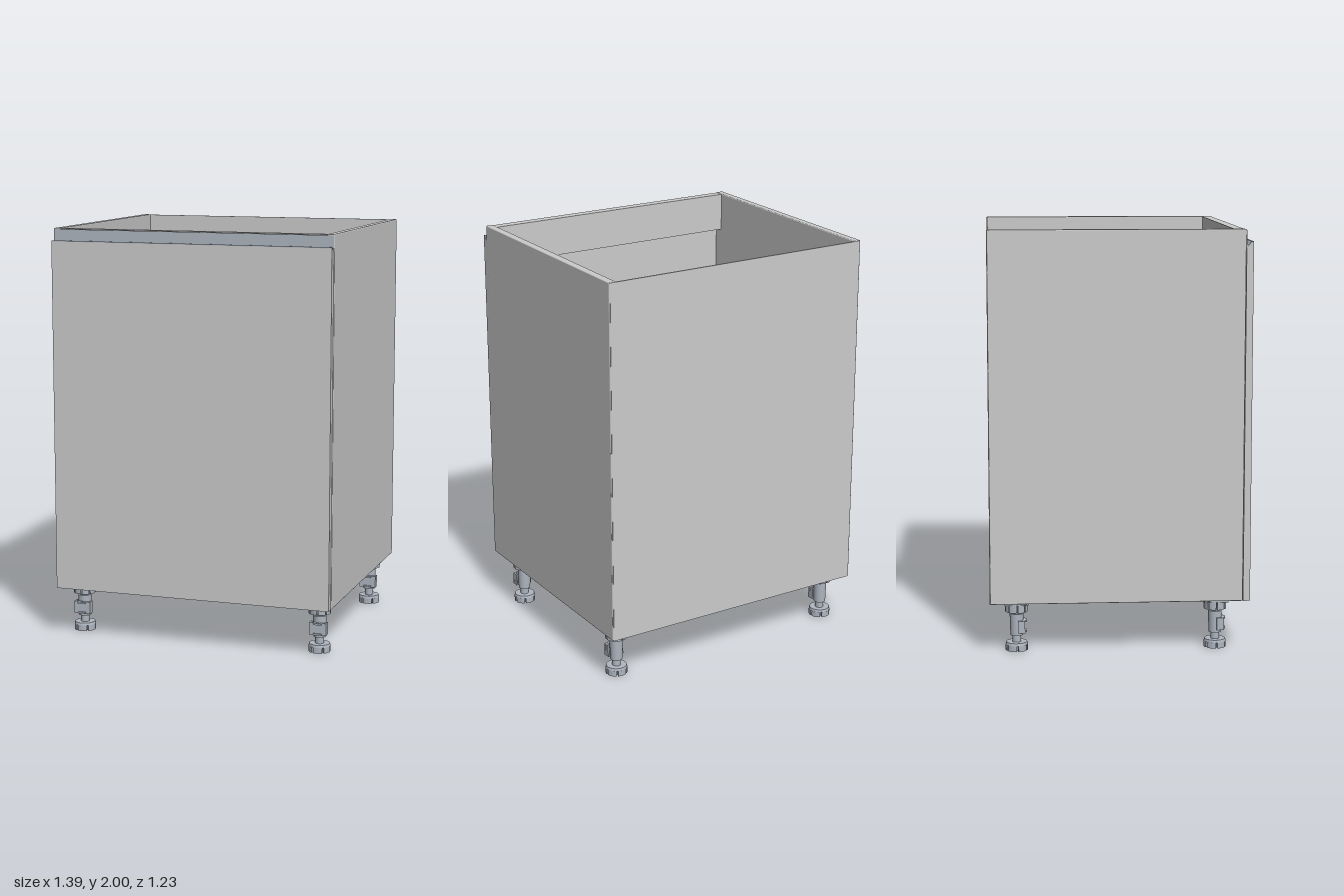
import * as THREE from 'three';
import { RoundedBoxGeometry } from 'three/addons/geometries/RoundedBoxGeometry.js';

const board = new THREE.MeshStandardMaterial({ color: 0xcccccc });
const metal = new THREE.MeshStandardMaterial({ color: 0xb0b7c1 });

function add(parent, name, geometry, material, x = 0, y = 0, z = 0) {
  const mesh = new THREE.Mesh(geometry, material);
  mesh.name = name;
  mesh.position.set(x, y, z);
  parent.add(mesh);
  return mesh;
}

// Panel given by its min and max corners, with slightly eased edges
function panel(parent, name, [x0, y0, z0], [x1, y1, z1], ease = 0) {
  const size = [x1 - x0, y1 - y0, z1 - z0];
  const geometry = ease ? new RoundedBoxGeometry(...size, 2, ease) : new THREE.BoxGeometry(...size);
  return add(parent, name, geometry, board, (x0 + x1) / 2, (y0 + y1) / 2, (z0 + z1) / 2);
}

// Extrudes a (z, y) side profile across the width in x
function acrossWidth(points, width) {
  const shape = new THREE.Shape(points.map(([z, y]) => new THREE.Vector2(z, y)));
  return new THREE.ExtrudeGeometry(shape, { depth: width, bevelEnabled: false })
    .rotateY(-Math.PI / 2).translate(width / 2, 0, 0);
}

// Slotted disc, like a gear, extruded upward from y = 0
function slottedDisc(outer, inner, height, teeth) {
  const shape = new THREE.Shape();
  const step = (Math.PI * 2) / teeth;
  for (let i = 0; i < teeth; i++) {
    const a = i * step;
    if (i === 0) shape.moveTo(inner, 0);
    else shape.lineTo(inner * Math.cos(a), inner * Math.sin(a));
    shape.lineTo(inner * Math.cos(a + step * 0.15), inner * Math.sin(a + step * 0.15));
    shape.absarc(0, 0, outer, a + step * 0.15, a + step, false);
  }
  shape.closePath();
  return new THREE.ExtrudeGeometry(shape, { depth: height, bevelEnabled: false, curveSegments: 5 })
    .rotateX(-Math.PI / 2);
}

function createLeg() {
  const leg = new THREE.Group();
  leg.name = 'leg';
  // Foot: slotted base under a plain disc
  add(leg, 'footBase', slottedDisc(0.053, 0.035, 0.028, 6), metal);
  add(leg, 'footDisc', new THREE.CylinderGeometry(0.05, 0.053, 0.012, 24), metal, 0, 0.034, 0);
  // Threaded stem, sleeve and neck
  add(leg, 'stem', new THREE.CylinderGeometry(0.021, 0.021, 0.04, 16), metal, 0, 0.058, 0);
  add(leg, 'sleeve', new THREE.CylinderGeometry(0.033, 0.03, 0.105, 20), metal, 0, 0.125, 0);
  add(leg, 'neck', new THREE.CylinderGeometry(0.024, 0.024, 0.06, 16), metal, 0, 0.2, 0);
  // Plinth clip on the front of the sleeve
  add(leg, 'clipPlate', new THREE.BoxGeometry(0.085, 0.06, 0.012), metal, 0, 0.117, 0.034);
  for (const y of [0.092, 0.142]) {
    add(leg, 'clipTab', new THREE.BoxGeometry(0.04, 0.008, 0.022), metal, 0, y, 0.037);
  }
  for (const x of [-0.038, 0.038]) {
    add(leg, 'clipCheek', new THREE.BoxGeometry(0.008, 0.06, 0.03), metal, x, 0.117, 0.02);
  }
  // Mounting socket screwed to the floor board
  add(leg, 'socket', slottedDisc(0.054, 0.036, 0.04, 8), metal, 0, 0.188, 0);
  add(leg, 'socketPlate', new THREE.BoxGeometry(0.114, 0.012, 0.114), metal, 0, 0.233, 0);
  return leg;
}

export function createModel() {
  const cabinet = new THREE.Group();
  cabinet.name = 'baseCabinet';

  // Open-topped carcass
  for (const s of [-1, 1]) {
    const x = [0.658 * s, 0.695 * s].sort((a, b) => a - b);
    panel(cabinet, s > 0 ? 'leftSide' : 'rightSide', [x[0], 0.24, -0.615], [x[1], 2, 0.582], 0.005);
  }
  panel(cabinet, 'floor', [-0.658, 0.24, -0.61], [0.658, 0.277, 0.58]);
  panel(cabinet, 'back', [-0.69, 0.24, -0.617], [0.69, 1.998, -0.609]);
  panel(cabinet, 'backRail', [-0.658, 0.277, -0.609], [0.658, 0.45, -0.572]);
  panel(cabinet, 'frontRail', [-0.658, 1.81, 0.532], [0.658, 1.998, 0.578]);

  // Door with a bevelled finger pull along its top edge
  add(cabinet, 'door', acrossWidth([
    [0.584, 0.24], [0.617, 0.24], [0.617, 1.938], [0.609, 1.938], [0.592, 1.918], [0.584, 1.918],
  ], 1.384), board);
  add(cabinet, 'handleStrip', acrossWidth([
    [0.578, 1.915], [0.592, 1.915], [0.61, 1.936], [0.617, 1.936], [0.617, 1.943],
    [0.607, 1.943], [0.591, 1.925], [0.586, 1.93], [0.586, 1.995], [0.578, 1.995],
  ], 1.384), metal);

  // Hinge on the inside of the right side board
  const hinge = new THREE.Group();
  hinge.name = 'hinge';
  const armShape = new THREE.Shape([[-0.653, -0.532], [-0.614, -0.532], [-0.626, -0.392], [-0.645, -0.392]]
    .map(([x, y]) => new THREE.Vector2(x, y)));
  add(hinge, 'hingeArm', new THREE.ExtrudeGeometry(armShape, { depth: 0.04, bevelEnabled: false })
    .rotateX(-Math.PI / 2), metal, 0, 0.48, 0);
  add(hinge, 'hingePlate', new THREE.BoxGeometry(0.012, 0.1, 0.06), metal, -0.652, 0.5, 0.45);
  add(hinge, 'hingeCup', new THREE.CylinderGeometry(0.04, 0.04, 0.05, 20).rotateX(Math.PI / 2),
    metal, -0.61, 0.5, 0.558);
  cabinet.add(hinge);

  // Four adjustable legs
  for (const x of [-0.61, 0.605]) {
    for (const z of [0.46, -0.49]) {
      const leg = createLeg();
      leg.position.set(x, 0, z);
      cabinet.add(leg);
    }
  }
  return cabinet;
}
